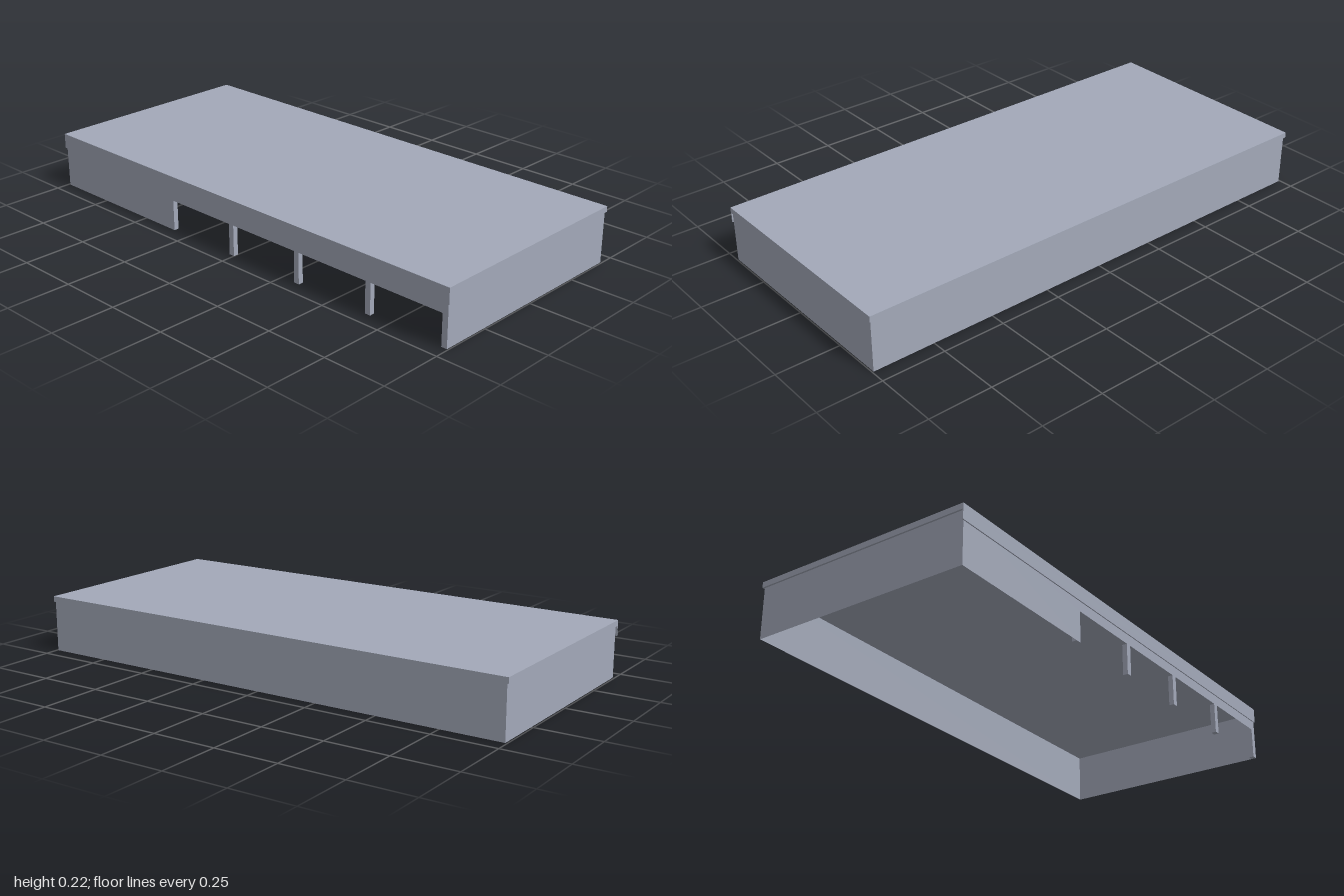
import * as THREE from 'three';

export function createModel() {
  const group = new THREE.Group();
  group.name = 'openSidedShed';
  const grey = new THREE.MeshStandardMaterial({ color: 0xa3a9b9, side: THREE.DoubleSide });
  grey.name = 'blueGrey';

  const add = (name, geometry) => {
    const mesh = new THREE.Mesh(geometry, grey);
    mesh.name = name;
    group.add(mesh);
  };
  // Box given by its lower and upper corners
  const box = (name, [x0, y0, z0], [x1, y1, z1]) =>
    add(name, new THREE.BoxGeometry(x1 - x0, y1 - y0, z1 - z0)
      .translate((x0 + x1) / 2, (y0 + y1) / 2, (z0 + z1) / 2));

  const left = -0.442, right = 0.441, front = 0.995, back = -0.993;
  const eave = 0.2, top = 0.222, opening = 0.122, bayEnd = -0.333;

  // Flat roof slab, slightly overhanging the walls
  box('roof', [-0.446, eave, -1], [0.446, top, 1]);

  // Thin end walls
  for (const [name, z, turn] of [['frontWall', front, 0], ['backWall', back, Math.PI]]) {
    add(name, new THREE.PlaneGeometry(right - left, eave).rotateY(turn)
      .translate((left + right) / 2, eave / 2, z));
  }

  // Closed long wall
  add('closedSideWall', new THREE.PlaneGeometry(front - back, eave).rotateY(Math.PI / 2)
    .translate(right, eave / 2, (front + back) / 2));

  // Open long wall: solid at the back, only a strip above the open bays
  const s = new THREE.Shape([
    [back, 0], [bayEnd, 0], [bayEnd, opening], [front, opening], [front, eave], [back, eave],
  ].map(([z, y]) => new THREE.Vector2(z, y)));
  add('openSideWall', new THREE.ShapeGeometry(s).rotateY(-Math.PI / 2).translate(left, 0, 0));

  // Deeper fascia board over the open side
  box('fascia', [-0.446, 0.162, -1], [left, eave, 1]);

  // Posts between the bays
  for (const z of [-0.333, 0, 0.333, 0.667, front]) {
    box('post', [left, 0, z - 0.023], [left + 0.02, opening, z]);
  }
  return group;
}
